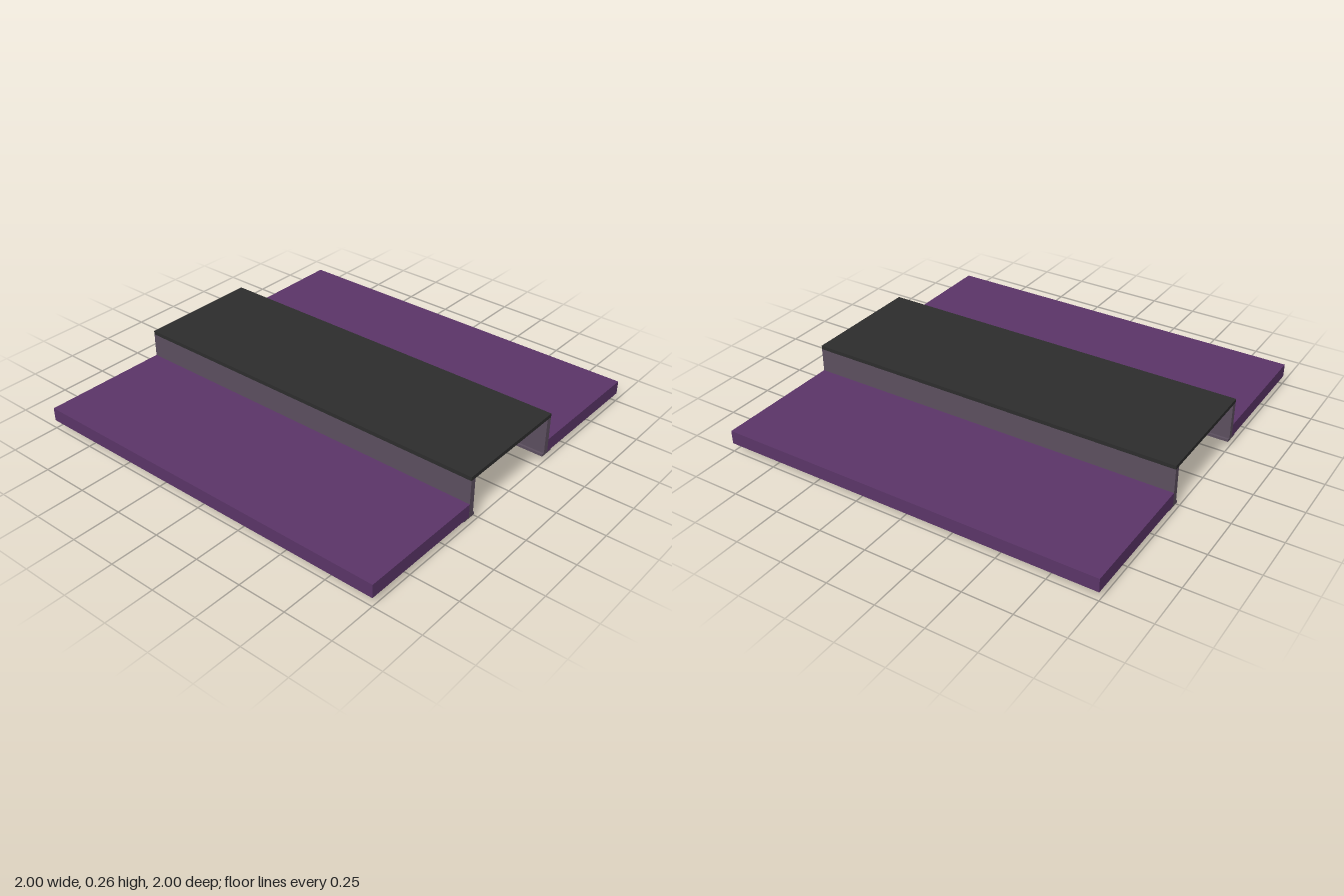
import * as THREE from 'three';

function material(name, color) {
  const m = new THREE.MeshStandardMaterial({ color });
  m.name = name;
  return m;
}

export function createModel() {
  const purple = material('purple', 0x5b3568);
  const lilac = material('lilac', 0x7c4f88);
  const charcoal = material('charcoal', 0x2d2d2d);
  const grey = material('mauve grey', 0x5c4f5f);
  const darkGrey = material('dark grey', 0x3a3440);
  const blue = material('slate blue', 0x46687e);

  const model = new THREE.Group();
  model.name = 'raisedPanel';

  // Box given by its lower and upper corners
  function box(name, mat, [x0, y0, z0], [x1, y1, z1], parent = model) {
    const mesh = new THREE.Mesh(new THREE.BoxGeometry(x1 - x0, y1 - y0, z1 - z0), mat);
    mesh.position.set((x0 + x1) / 2, (y0 + y1) / 2, (z0 + z1) / 2);
    mesh.name = name;
    parent.add(mesh);
    return mesh;
  }

  function disc(name, mat, radius, y0, y1, x, z, parent) {
    const mesh = new THREE.Mesh(new THREE.CylinderGeometry(radius, radius * 0.9, y1 - y0, 24), mat);
    mesh.position.set(x, (y0 + y1) / 2, z);
    mesh.name = name;
    parent.add(mesh);
  }

  // Raised cover with a strip along its underside
  box('cover', charcoal, [-0.325, 0.24, -1], [0.325, 0.26, 1]);
  box('undersideStrip', blue, [-0.085, 0.231, -0.99], [0.085, 0.24, 0.99]);

  // Cross ribs between the channel walls
  const ribCount = 7;
  for (let i = 0; i < ribCount; i++) {
    const z = -0.86 + (1.72 * i) / (ribCount - 1);
    box('rib', purple, [-0.295, 0.065, z - 0.01], [0.295, 0.232, z + 0.01]);
  }

  for (const side of [1, -1]) {
    const half = new THREE.Group();
    half.name = side > 0 ? 'leftHalf' : 'rightHalf';
    const span = (name, mat, x0, x1, y0, y1, z) =>
      box(name, mat, [Math.min(side * x0, side * x1), y0, -z], [Math.max(side * x0, side * x1), y1, z], half);

    // Flat wing, channel wall and its foot flange
    span('wing', purple, 0.325, 1, 0.045, 0.115, 1);
    span('channelWall', grey, 0.295, 0.3249, 0.05, 0.24, 1);
    span('footFlange', grey, 0.283, 0.36, 0.037, 0.05, 0.999);

    // Pad with a narrower seat under the wing
    span('padSeat', lilac, 0.43, 0.87, 0.038, 0.045, 0.87);
    span('pad', lilac, 0.395, 0.905, 0.02, 0.038, 0.9);

    // Round feet with inset centres
    for (const z of [-0.5, 0.5]) {
      disc('foot', darkGrey, 0.045, 0.002, 0.02, side * 0.65, z, half);
      disc('footCentre', blue, 0.022, 0, 0.003, side * 0.65, z, half);
    }
    model.add(half);
  }
  return model;
}
